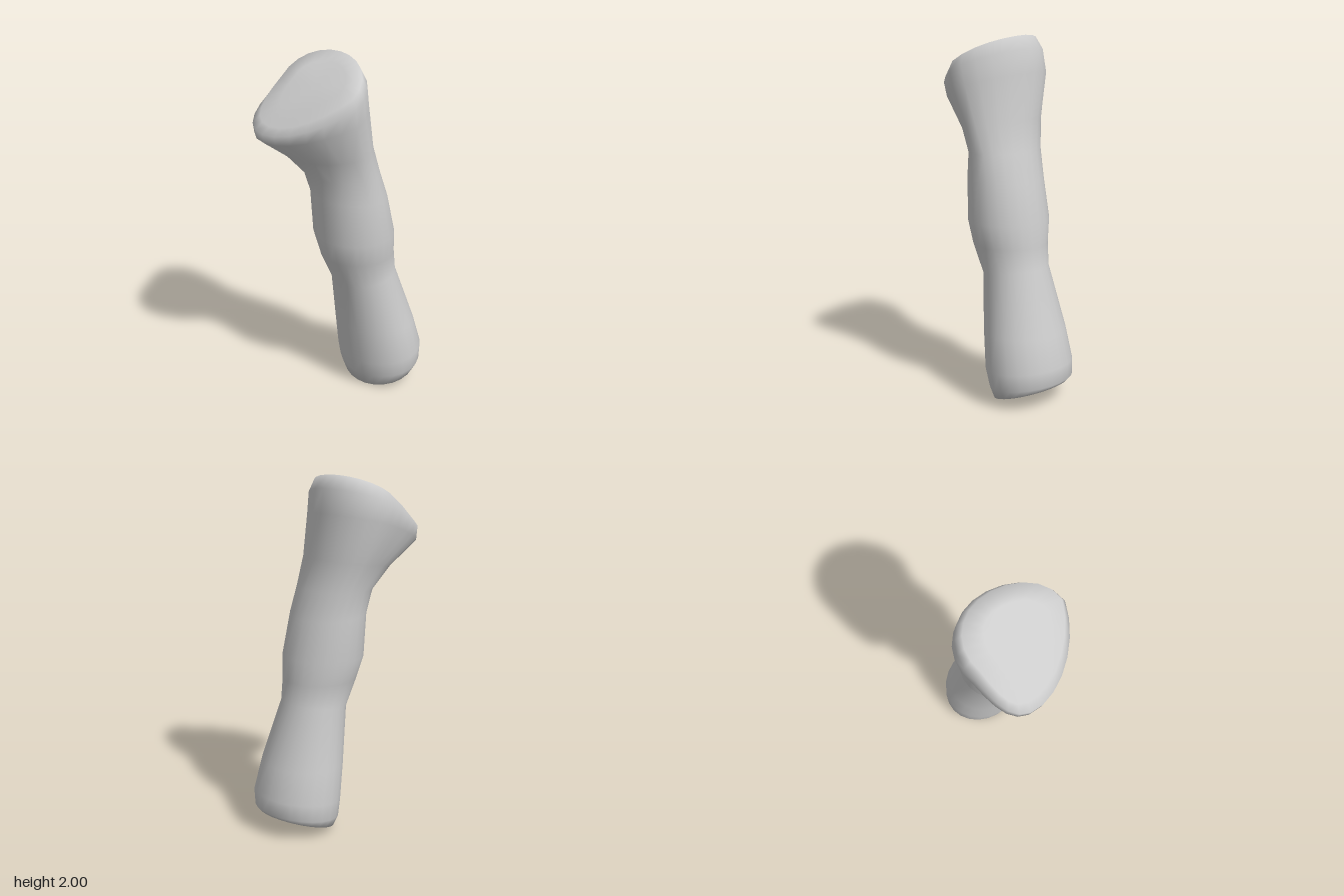
import * as THREE from 'three';
import { mergeVertices } from 'three/addons/utils/BufferGeometryUtils.js';

const SIDES = 24;

// Tilted section of the bone: x limits, then z and y of its front and back points.
// The head leans to its right and its flanks bulge upwards.
function section(x0, x1, zFront, yFront, zBack, yBack) {
  return {
    centre: new THREE.Vector3((x0 + x1) / 2, (yFront + yBack) / 2, (zFront + zBack) / 2),
    halfWidth: (x1 - x0) / 2,
    halfDepth: (zFront - zBack) / 2,
    slope: (yFront - yBack) / 2,
    lean: -0.11 * THREE.MathUtils.smoothstep(yFront, 1.25, 1.6),
    rise: 0.025 * THREE.MathUtils.smoothstep(yFront, 1.5, 1.65),
  };
}

// One closed ring of points; scale and lift shape the end faces.
function ring(s, scale = 1, lift = 0) {
  return Array.from({ length: SIDES }, (_, j) => {
    const a = (j / SIDES) * Math.PI * 2, sin = Math.sin(a), cos = Math.cos(a);
    // the front tip leans further than the back, with its right corner cut off
    const lean = cos > 0
      ? s.lean * Math.pow(cos, sin < 0 ? 2 : 1)
      : 0.55 * s.lean * Math.pow(-cos, sin < 0 ? 1 : 2);
    return new THREE.Vector3(
      sin * s.halfWidth + lean,
      cos * s.slope + sin * sin * s.rise,
      cos * s.halfDepth
    ).multiplyScalar(scale).add(s.centre).add(new THREE.Vector3(0, lift, 0));
  });
}

// Smooth skin through rings ordered from bottom to top.
function loft(rings) {
  const index = [];
  for (let i = 0; i < rings.length - 1; i++) {
    for (let j = 0; j < SIDES; j++) {
      const n = (j + 1) % SIDES, p = i * SIDES, q = p + SIDES;
      index.push(p + j, p + n, q + n, p + j, q + n, q + j);
    }
  }
  const geometry = new THREE.BufferGeometry().setFromPoints(rings.flat());
  geometry.setIndex(index);
  const merged = mergeVertices(geometry);
  merged.computeVertexNormals();
  return merged;
}

export function createModel() {
  const foot = section(-0.16, 0.3, -0.045, 0, -0.425, 0.115);
  const crown = section(-0.295, 0.245, 0.41, 1.685, -0.055, 2);
  const sections = [
    foot,
    // lower knob and narrow waist
    section(-0.19, 0.325, -0.02, 0.08, -0.447, 0.14),
    section(-0.19, 0.335, 0.005, 0.18, -0.45, 0.23),
    section(-0.18, 0.31, 0.03, 0.4, -0.4, 0.4),
    section(-0.138, 0.235, 0.075, 0.7, -0.285, 0.75),
    // middle swelling
    section(-0.165, 0.25, 0.15, 0.87, -0.27, 0.87),
    section(-0.2, 0.27, 0.18, 1, -0.26, 1),
    section(-0.2, 0.25, 0.19, 1.25, -0.21, 1.22),
    section(-0.21, 0.235, 0.21, 1.37, -0.165, 1.38),
    // flaring head
    section(-0.25, 0.24, 0.29, 1.48, -0.13, 1.55),
    section(-0.33, 0.26, 0.44, 1.6, -0.12, 1.8),
    section(-0.33, 0.268, 0.45, 1.65, -0.095, 1.93),
    crown,
  ];

  // end faces close with a shrunken ring and a centre point
  const bone = new THREE.Mesh(
    loft([
      ring(foot, 0, 0.01),
      ring(foot, 0.6, 0.005),
      ...sections.map((s) => ring(s)),
      ring(crown, 0.65, 0.02),
      ring(crown, 0, 0.03),
    ]),
    new THREE.MeshStandardMaterial({ color: 0xcccccc })
  );
  bone.name = 'boneShaft';

  const group = new THREE.Group();
  group.name = 'bone';
  group.add(bone);
  return group;
}
